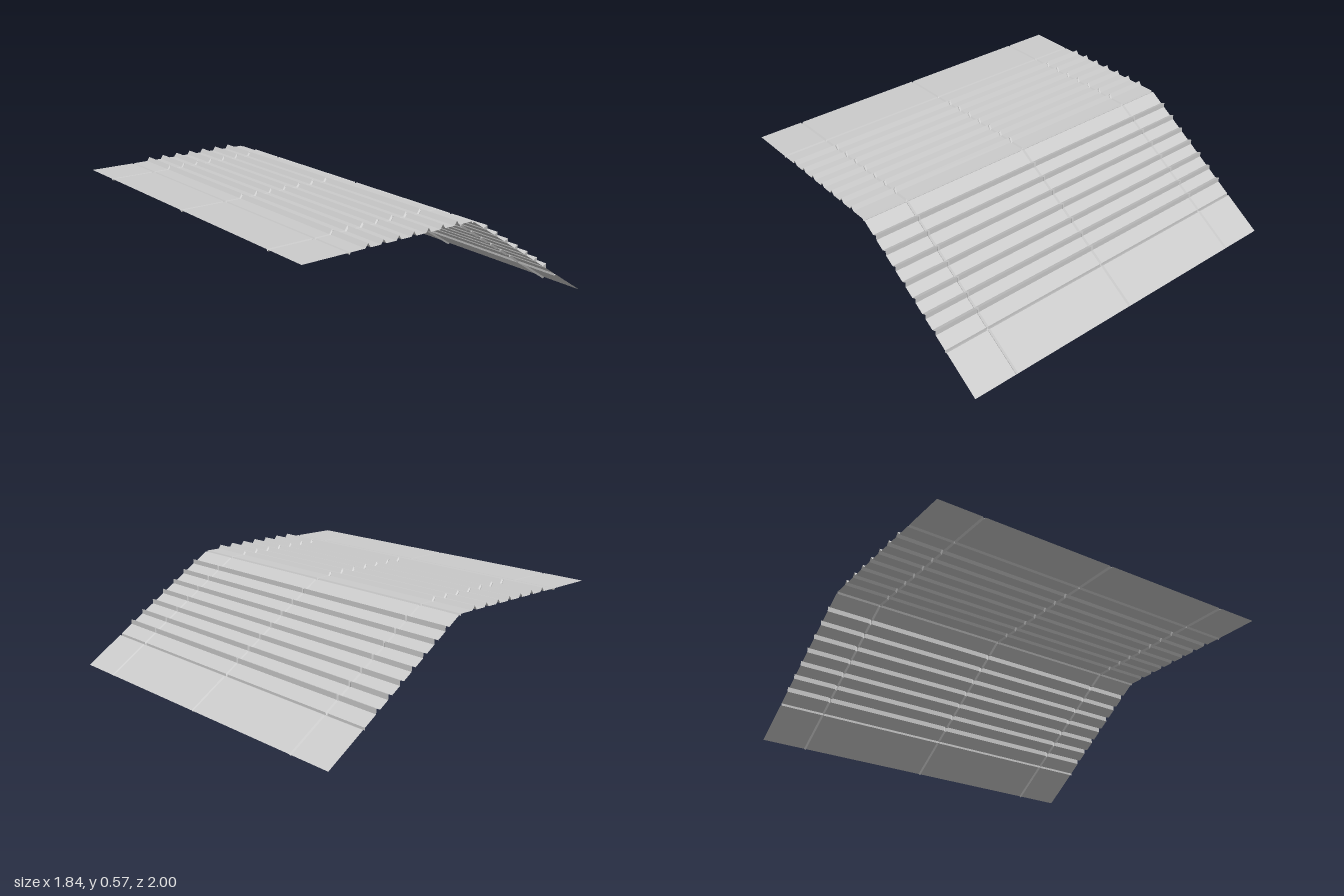
import * as THREE from 'three';

const DEPTH = 0.01;   // groove depth
const HALF = 0.007;   // groove half width
const RIB_H = 0.022, RIB_HALF = 0.015, RIB_STEP = 0.0895;
const FOLD = [0.075, 0.559];
const LENGTH = 1.0;   // panel length measured from the fold
const TILT = Math.atan2(0.547, 0.843);

// Profile of one panel as [distance from fold, height above panel]
function panelProfile() {
  const pts = [[DEPTH * Math.tan(TILT / 2), -DEPTH], [HALF + 0.001, 0]];
  for (let i = 0; i < 7; i++) {
    const c = 0.105 + i * RIB_STEP;
    pts.push([c - RIB_HALF, 0], [c, RIB_H], [c + RIB_HALF, 0]);
  }
  const g = 0.105 + 6 * RIB_STEP + 0.104;
  pts.push([g - HALF, 0], [g, -DEPTH], [g + HALF, 0], [LENGTH, 0]);
  return pts;
}

// Stations along z as [z, drop], with a V groove at every seam
function seamStations() {
  const st = [[-1, 0]];
  for (const z of [-0.75, 0, 0.75]) st.push([z - HALF, 0], [z, DEPTH], [z + HALF, 0]);
  st.push([1, 0]);
  return st;
}

// Pressed sheet swept along z; dir runs away from the fold, nrm points outward
function sheet(dir, nrm, material, name) {
  const profile = panelProfile(), stations = seamStations();
  if (dir[0] < 0) profile.reverse();
  const pos = [], idx = [], n = stations.length;
  profile.forEach(([s, h]) => stations.forEach(([z, drop]) => {
    const k = h < 0 ? h : h - drop;
    pos.push(FOLD[0] + dir[0] * s + nrm[0] * k, FOLD[1] + dir[1] * s + nrm[1] * k, z);
  }));
  for (let i = 0; i < profile.length - 1; i++) {
    for (let j = 0; j < n - 1; j++) {
      const a = i * n + j, b = a + 1, c = a + n, d = c + 1;
      idx.push(a, b, c, b, d, c);
    }
  }
  const indexed = new THREE.BufferGeometry();
  indexed.setAttribute('position', new THREE.Float32BufferAttribute(pos, 3));
  indexed.setIndex(idx);
  const geo = indexed.toNonIndexed();
  geo.computeVertexNormals();
  const mesh = new THREE.Mesh(geo, material);
  mesh.name = name;
  return mesh;
}

export function createModel() {
  const group = new THREE.Group();
  group.name = 'ribbedRoof';
  const metal = new THREE.MeshStandardMaterial({ color: 0xcccccc, side: THREE.DoubleSide });
  metal.name = 'light grey sheet';
  const c = Math.cos(TILT), s = Math.sin(TILT);
  group.add(
    sheet([-1, 0], [0, 1], metal, 'flatPanel'),
    sheet([c, -s], [s, c], metal, 'slopedPanel')
  );
  return group;
}
